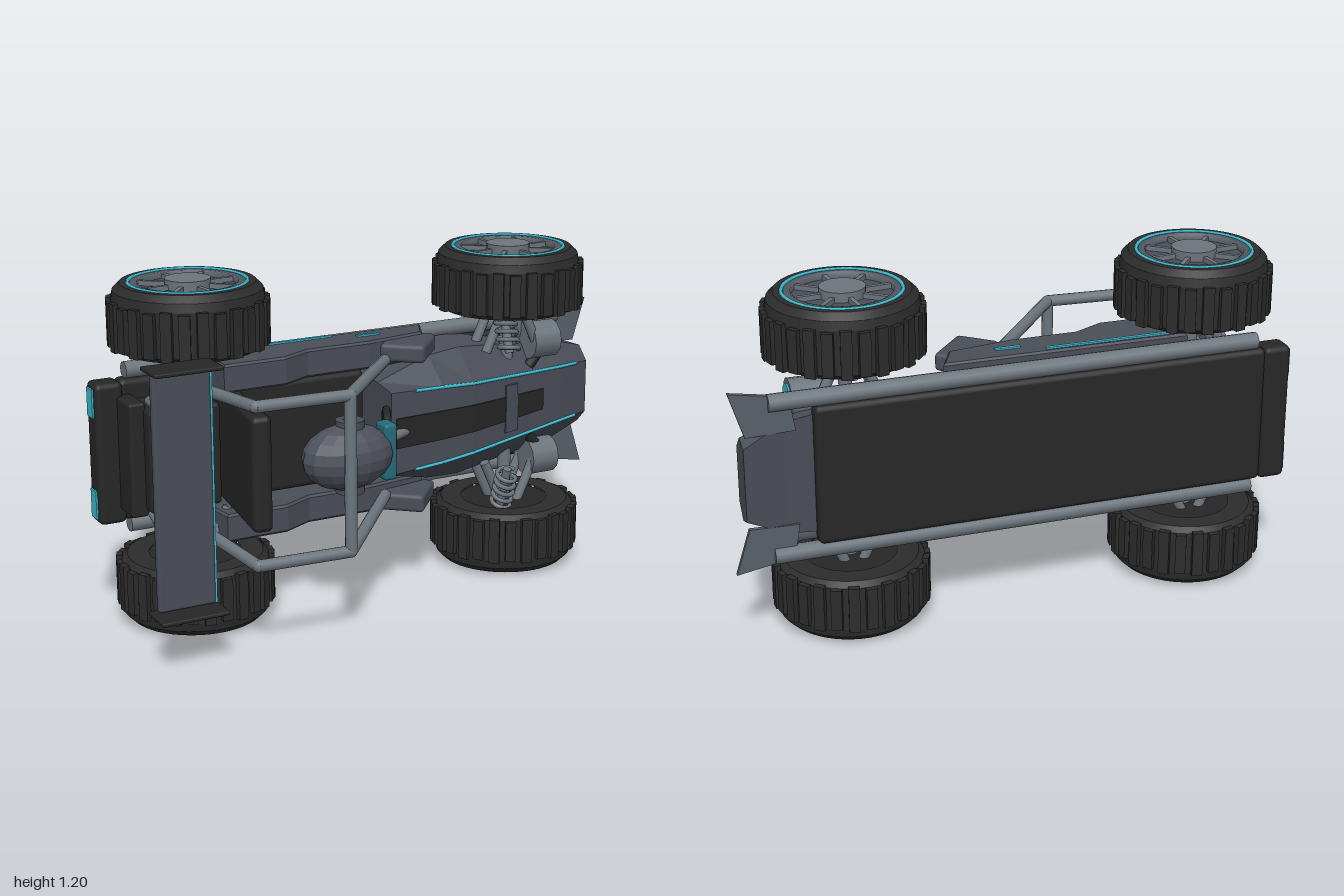
import * as THREE from 'three';
import { mergeGeometries } from 'three/addons/utils/BufferGeometryUtils.js';
import { RoundedBoxGeometry } from 'three/addons/geometries/RoundedBoxGeometry.js';

const mat = (name, color, extra = {}) => Object.assign(new THREE.MeshStandardMaterial({ color, ...extra }), { name });
const V = (x, y, z) => new THREE.Vector3(x, y, z);

// The buggy lies on its side: forward is +x, its roof faces +z, its width runs along y.
export function createModel() {
  const body = mat('slate body', 0x4a4e58);
  const panel = mat('pale panel', 0x596069);
  const metal = mat('grey metal', 0x6c757d);
  const black = mat('black trim', 0x272727);
  const rubber = mat('tyre rubber', 0x2c2c2c);
  const cyan = mat('cyan accent', 0x3cbcd0);
  const teal = mat('dark teal', 0x236b79);
  const slateFlat = mat('slate helmet', 0x4d515b);

  const root = new THREE.Group();
  root.name = 'buggy';
  const car = new THREE.Group();
  car.name = 'car';
  car.position.y = 0.6;
  root.add(car);

  const add = (name, geo, m, p = [0, 0, 0], parent = car) => {
    const mesh = new THREE.Mesh(geo, m);
    mesh.name = name;
    mesh.position.set(...p);
    parent.add(mesh);
    return mesh;
  };
  const box = (name, size, p, m, r = 0) =>
    add(name, r ? new RoundedBoxGeometry(...size, 2, r) : new THREE.BoxGeometry(...size), m, p);
  // Round bar between two points
  const bar = (name, a, b, r, m = metal) => {
    const A = V(...a), B = V(...b), d = B.clone().sub(A);
    const mesh = add(name, new THREE.CylinderGeometry(r, r, d.length(), 12), m, A.clone().add(B).multiplyScalar(0.5).toArray());
    mesh.quaternion.setFromUnitVectors(V(0, 1, 0), d.normalize());
    return mesh;
  };
  // Coil spring between two points
  const coil = (name, a, b, R, turns) => {
    const A = V(...a), d = V(...b).sub(A), pts = [];
    const q = new THREE.Quaternion().setFromUnitVectors(V(0, 1, 0), d.clone().normalize());
    for (let i = 0; i <= turns * 10; i++) {
      const t = i / (turns * 10), w = t * turns * Math.PI * 2;
      pts.push(V(Math.cos(w) * R, t * d.length(), Math.sin(w) * R).applyQuaternion(q).add(A));
    }
    add(name, new THREE.TubeGeometry(new THREE.CatmullRomCurve3(pts), turns * 14, 0.009, 6), metal);
  };
  // Six-sided loft; section = [x, topHalf, topZ, midHalf, midZ, lowHalf, lowZ]
  const loft = (sections) => {
    const rings = sections.map(([x, wt, zt, ws, zm, wb, zb]) =>
      [[wb, zb], [ws, zm], [wt, zt], [-wt, zt], [-ws, zm], [-wb, zb]].map(([y, z]) => [x, y, z]));
    const pos = [], tri = (...p) => p.forEach((v) => pos.push(...v));
    for (let i = 0; i + 1 < rings.length; i++) for (let j = 0; j < 6; j++) {
      const k = (j + 1) % 6, a = rings[i], b = rings[i + 1];
      tri(a[j], a[k], b[k]);
      tri(a[j], b[k], b[j]);
    }
    const first = rings[0], last = rings[rings.length - 1];
    for (let j = 1; j < 5; j++) {
      tri(last[0], last[j], last[j + 1]);
      tri(first[0], first[j + 1], first[j]);
    }
    const g = new THREE.BufferGeometry();
    g.setAttribute('position', new THREE.Float32BufferAttribute(pos, 3));
    g.computeVertexNormals();
    return g;
  };
  // Outline in x-z, given thickness along y
  const slab = (points, y0, y1) => {
    const s = new THREE.Shape(points.map(([x, z]) => new THREE.Vector2(x, -z)));
    const bev = 0.008;
    return new THREE.ExtrudeGeometry(s, { depth: y1 - y0 - 2 * bev, bevelSize: bev, bevelThickness: bev, bevelSegments: 1 })
      .rotateX(-Math.PI / 2).translate(0, y0 + bev, 0);
  };

  // Floor, rear bumper, seat
  box('floor', [1.62, 0.5, 0.07], [-0.09, 0, -0.247], black, 0.02);
  box('rearBumper', [0.1, 0.5, 0.095], [-0.945, 0, -0.237], black, 0.02);
  box('rearBulkhead', [0.06, 0.4, 0.16], [-0.89, 0, -0.16], black, 0.01);
  box('seatBase', [0.5, 0.4, 0.12], [-0.27, 0, -0.17], black, 0.02);
  const back = box('seatBack', [0.07, 0.4, 0.47], [-0.56, 0, 0.03], black, 0.02);
  back.rotation.y = -0.14;
  box('engineBlock', [0.26, 0.36, 0.2], [-0.74, 0, -0.13], black, 0.015);

  // Nose body, its centre stripe and cross strap
  const nose = [
    [0, 0.15, 0.055, 0.165, -0.05, 0.165, -0.22],
    [0.22, 0.14, 0.035, 0.23, -0.08, 0.25, -0.22],
    [0.36, 0.13, 0.015, 0.24, -0.1, 0.26, -0.22],
    [0.82, 0.105, -0.115, 0.19, -0.18, 0.2, -0.25],
    [0.96, 0.1, -0.16, 0.15, -0.21, 0.13, -0.27],
  ];
  add('noseBody', loft(nose), body);
  const strip = (list) => loft(list.map(([x, w, z]) => [x, w, z + 0.005, w, z, w, z - 0.004]));
  add('noseStripe', strip([[0.02, 0.055, 0.053], [0.22, 0.053, 0.035], [0.36, 0.05, 0.015], [0.72, 0.04, -0.087]]), black);
  add('noseStrap', strip([[0.52, 0.09, -0.027], [0.58, 0.088, -0.044]]), body);

  // Helmet with visor
  const helmet = add('helmet', new THREE.SphereGeometry(0.115, 14, 10), slateFlat, [-0.25, 0, 0.2]);
  helmet.scale.set(1.45, 1, 0.95);
  slateFlat.flatShading = true;
  box('visorFrame', [0.05, 0.2, 0.075], [-0.1, 0, 0.2], teal, 0.012);
  box('visorStrip', [0.008, 0.15, 0.016], [-0.073, 0, 0.2], cyan);

  // Steering wheel and column
  const wheelRing = add('steeringWheel', new THREE.TorusGeometry(0.11, 0.014, 8, 28), black, [-0.05, 0, 0.11]);
  wheelRing.rotation.y = Math.PI / 2 - 0.45;
  bar('steeringColumn', [-0.055, 0, 0.11], [0.06, 0, 0.04], 0.018);
  bar('steeringSpoke', [-0.05, -0.1, 0.11], [-0.05, 0.1, 0.11], 0.009, black);

  // Rear wing
  box('wingBlade', [0.2, 0.8, 0.03], [-0.882, 0, 0.277], body, 0.01);
  box('wingEdge', [0.008, 0.8, 0.016], [-0.779, 0, 0.277], cyan);
  bar('cageCrossbar', [-0.33, -0.27, 0.38], [-0.33, 0.27, 0.38], 0.021);

  // Parts that repeat on both sides
  for (const s of [1, -1]) {
    const at = (x, y, z) => [x, s * y, z];
    box('wingEndPlate', [0.235, 0.014, 0.125], at(-0.883, 0.412, 0.303), black, 0.005);
    bar('wingStrut', at(-0.84, 0.2, -0.1), at(-0.9, 0.23, 0.27), 0.016);

    // Roll cage
    const path = [[0.02, 0.25, -0.03], [-0.33, 0.27, 0.38], [-0.66, 0.27, 0.36], [-0.7, 0.25, 0], [-0.72, 0.22, -0.18]].map((p) => at(...p));
    path.forEach((p, i) => {
      if (i) bar('cageTube', path[i - 1], p, 0.021);
      add('cageJoint', new THREE.SphereGeometry(0.021, 10, 8), metal, p);
    });

    // Side rail, pod and accents
    bar('sideRail', at(-0.87, 0.275, -0.25), at(0.87, 0.275, -0.25), 0.03);
    const pod = [[-0.62, -0.2], [0.25, -0.2], [0.2, -0.1], [-0.03, -0.065], [-0.27, -0.065], [-0.38, -0.01], [-0.6, -0.01]];
    const y = [0.215, 0.315];
    add('sidePod', slab(pod, s > 0 ? y[0] : -y[1], s > 0 ? y[1] : -y[0]), body);
    box('podStripe', [0.45, 0.008, 0.014], at(-0.34, 0.317, -0.185), cyan);
    box('podAccent', [0.09, 0.008, 0.014], at(0.01, 0.317, -0.14), cyan);
    const plate = box('sideDeflector', [0.16, 0.065, 0.2], at(0.128, 0.275, -0.06), body, 0.015);
    plate.rotation.y = -0.72;
    box('engineCover', [0.14, 0.12, 0.03], at(-0.73, 0.12, -0.02), body, 0.01);
    box('tailLight', [0.008, 0.1, 0.05], at(-0.997, 0.18, -0.237), cyan);

    // Front fins
    const fin = [[0.78, 0.17], [0.95, 0.165], [1, 0.325], [0.8, 0.29]];
    const shape = new THREE.Shape(fin.map(([x, l]) => new THREE.Vector2(x, s * l)));
    add('frontFin', new THREE.ExtrudeGeometry(shape, { depth: 0.016, bevelEnabled: false }), panel, [0, 0, -0.258]);

    // Headlights
    bar('headlight', at(0.66, 0.225, -0.115), at(0.77, 0.225, -0.115), 0.07);
    bar('headlightLens', at(0.768, 0.225, -0.115), at(0.776, 0.225, -0.115), 0.053, cyan);
    bar('headlightMount', at(0.66, 0.13, -0.1), at(0.72, 0.2, -0.1), 0.02, black);

    // Hood edge strips
    for (let i = 0; i < 3; i++) {
      const [a, b] = [nose[i], nose[i + 1]];
      const start = i ? a : [0.1, 0.145, 0.046];
      bar('hoodStrip', at(start[0], start[1], start[2]), at(b[0], b[1], b[2]), 0.006, cyan);
    }
    bar('hoodStrip', at(0.82, 0.105, -0.115), at(0.9, 0.102, -0.14), 0.006, cyan);

    // Helmet ears
    bar('helmetEar', at(-0.24, 0.1, 0.2), at(-0.24, 0.128, 0.2), 0.05, body);
    bar('helmetEarDot', at(-0.24, 0.127, 0.2), at(-0.24, 0.132, 0.2), 0.024, teal);

    // Suspension and wheels on each axle
    for (const x of [-0.68, 0.575]) {
      for (const z of [-0.08, -0.17]) for (const dx of [-0.11, 0.11])
        bar('suspensionArm', at(x + dx, 0.21, z), at(x + dx * 0.25, 0.39, z), 0.018);
      bar('axle', at(x, 0.15, -0.12), at(x, 0.4, -0.12), 0.024);
      const c = x < 0 ? -0.08 : -0.06;
      bar('damper', at(x + c, 0.22, 0), at(x + c, 0.38, -0.05), 0.016);
      coil('spring', at(x + c, 0.23, 0), at(x + c, 0.37, -0.045), 0.036, 5);
      const w = makeWheel();
      w.position.set(x, s * 0.477, -0.12);
      if (s < 0) w.rotation.x = Math.PI;
      car.add(w);
    }
  }

  // Wheel with its axle along y, outer face toward +y
  function makeWheel() {
    const g = new THREE.Group();
    g.name = 'wheel';
    const profile = [[0.16, -0.113], [0.235, -0.113], [0.255, -0.095], [0.258, 0.06], [0.252, 0.09], [0.228, 0.113], [0.2, 0.113], [0.19, 0.085]];
    // Doubled points keep the edges crisp
    const pts = profile.flatMap(([r, h]) => [new THREE.Vector2(r, h), new THREE.Vector2(r, h)]);
    add('tyre', new THREE.LatheGeometry(pts, 48), rubber, [0, 0, 0], g);
    const treads = [];
    for (let i = 0; i < 28; i++) {
      const long = i % 2 ? 0.15 : 0.165;
      treads.push(new THREE.BoxGeometry(0.022, long, 0.038).translate(0.263, -0.02, 0).rotateY((i / 28) * Math.PI * 2));
    }
    add('treadBlocks', mergeGeometries(treads), rubber, [0, 0, 0], g);
    add('wheelInner', new THREE.CylinderGeometry(0.165, 0.165, 0.1, 32), black, [0, -0.055, 0], g);
    add('rimDisc', new THREE.CylinderGeometry(0.195, 0.195, 0.09, 40), body, [0, 0.045, 0], g);
    const ring = [[0.17, 0.088], [0.195, 0.088], [0.195, 0.112], [0.17, 0.112], [0.17, 0.088]].map((p) => new THREE.Vector2(...p));
    add('rimRing', new THREE.LatheGeometry(ring, 40), panel, [0, 0, 0], g);
    const glow = add('rimAccent', new THREE.TorusGeometry(0.2, 0.007, 6, 48), cyan, [0, 0.112, 0], g);
    glow.rotation.x = Math.PI / 2;
    const spokes = [];
    for (let i = 0; i < 8; i++)
      spokes.push(new THREE.BoxGeometry(0.12, 0.02, 0.016).translate(0.12, 0.097, 0).rotateY((i / 8) * Math.PI * 2 + 0.1));
    add('spokes', mergeGeometries(spokes), metal, [0, 0, 0], g);
    add('hub', new THREE.CylinderGeometry(0.078, 0.078, 0.04, 24), metal, [0, 0.103, 0], g);
    return g;
  }

  return root;
}
